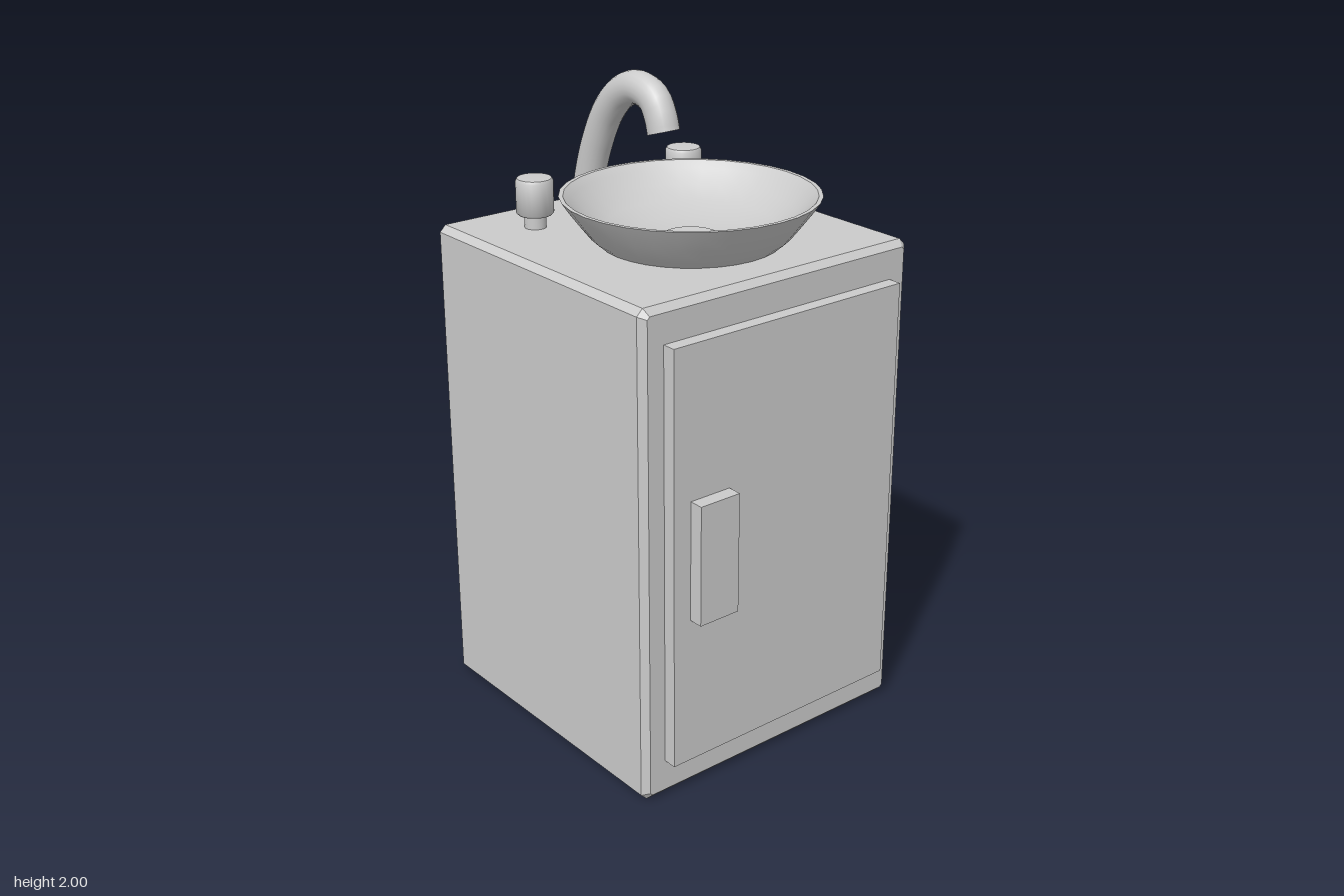
import * as THREE from 'three';
import { toCreasedNormals } from 'three/addons/utils/BufferGeometryUtils.js';

const grey = new THREE.MeshStandardMaterial({ color: 0xcccccc });
const greyFlat = new THREE.MeshStandardMaterial({ color: 0xcccccc, flatShading: true });

const points = (list) => list.map(([x, y]) => new THREE.Vector2(x, y));

// Box with a single flat chamfer on all edges
function chamferedBox(w, h, d, c) {
  const x = w / 2, y = h / 2;
  const shape = new THREE.Shape(points([
    [-x + c, -y], [x - c, -y], [x, -y + c], [x, y - c],
    [x - c, y], [-x + c, y], [-x, y - c], [-x, -y + c],
  ]));
  const geometry = new THREE.ExtrudeGeometry(shape, {
    depth: d - 2 * c, bevelEnabled: true, bevelThickness: c,
    bevelSize: c, bevelOffset: -c, bevelSegments: 1,
  });
  return geometry.translate(0, 0, c - d / 2);
}

// Lathe with sharp edges kept where the profile turns hard
const lathe = (profile, segments, crease = 0.6) =>
  toCreasedNormals(new THREE.LatheGeometry(points(profile), segments), crease);

export function createModel() {
  const model = new THREE.Group();
  const add = (name, geometry, material, x, y, z, parent = model) => {
    const mesh = new THREE.Mesh(geometry, material);
    mesh.name = name;
    mesh.position.set(x, y, z);
    parent.add(mesh);
    return mesh;
  };

  // Cabinet with door and handle
  add('cabinet', chamferedBox(1, 1.54, 1, 0.02), greyFlat, 0, 0.77, -0.043);
  add('door', new THREE.BoxGeometry(0.85, 1.31, 0.06), greyFlat, 0, 0.775, 0.47);
  add('handle', new THREE.BoxGeometry(0.14, 0.375, 0.06), greyFlat, -0.295, 0.777, 0.515);

  // Basin: outer wall up to the rim, then down the inside to the drain
  add('basin', lathe([
    [0, 1.535], [0.265, 1.535], [0.3, 1.565], [0.335, 1.61], [0.365, 1.65], [0.385, 1.68],
    [0.372, 1.68], [0.35, 1.66], [0.31, 1.62], [0.25, 1.585], [0.17, 1.56], [0.085, 1.548], [0, 1.546],
  ], 32), grey, 0, 0, 0.055);

  // Drain ring with a small domed plug
  add('drainRing', lathe([[0.086, 1.545], [0.084, 1.553], [0.036, 1.549], [0.036, 1.543]], 32),
    grey, 0, 0, 0.055);
  add('drainPlug', lathe([[0.036, 1.545], [0.03, 1.553], [0.018, 1.558], [0, 1.56]], 24),
    grey, 0, 0, 0.055);

  // Two taps, each a stem with a rounded-edge knob
  for (const [side, name] of [[-1, 'rightTap'], [1, 'leftTap']]) {
    const tap = new THREE.Group();
    tap.name = name;
    tap.position.set(0.286 * side + 0.004, 1.535, -0.333);
    add('tapStem', new THREE.CylinderGeometry(0.033, 0.033, 0.06, 24), grey, 0, 0.03, 0, tap);
    add('tapKnob', lathe([
      [0, 0.045], [0.05, 0.045], [0.057, 0.052], [0.057, 0.148], [0.052, 0.157], [0, 0.16],
    ], 24, 1), grey, 0, 0, 0, tap);
    model.add(tap);
  }

  // Curved spout rising from the back and arching over the basin
  const path = new THREE.CatmullRomCurve3([
    [1.53, -0.457], [1.64, -0.433], [1.75, -0.393], [1.85, -0.337], [1.92, -0.265],
    [1.947, -0.19], [1.927, -0.115], [1.88, -0.084], [1.835, -0.07],
  ].map(([y, z]) => new THREE.Vector3(0, y, z)));
  const faucet = new THREE.Group();
  faucet.name = 'faucet';
  faucet.scale.x = 0.93;
  model.add(faucet);
  add('spout', new THREE.TubeGeometry(path, 40, 0.051, 20), grey, 0, 0, 0, faucet);
  const end = path.getPoint(1);
  const cap = add('spoutEnd', new THREE.CircleGeometry(0.051, 20), grey, end.x, end.y, end.z, faucet);
  cap.quaternion.setFromUnitVectors(new THREE.Vector3(0, 0, 1), path.getTangent(1));

  return model;
}
